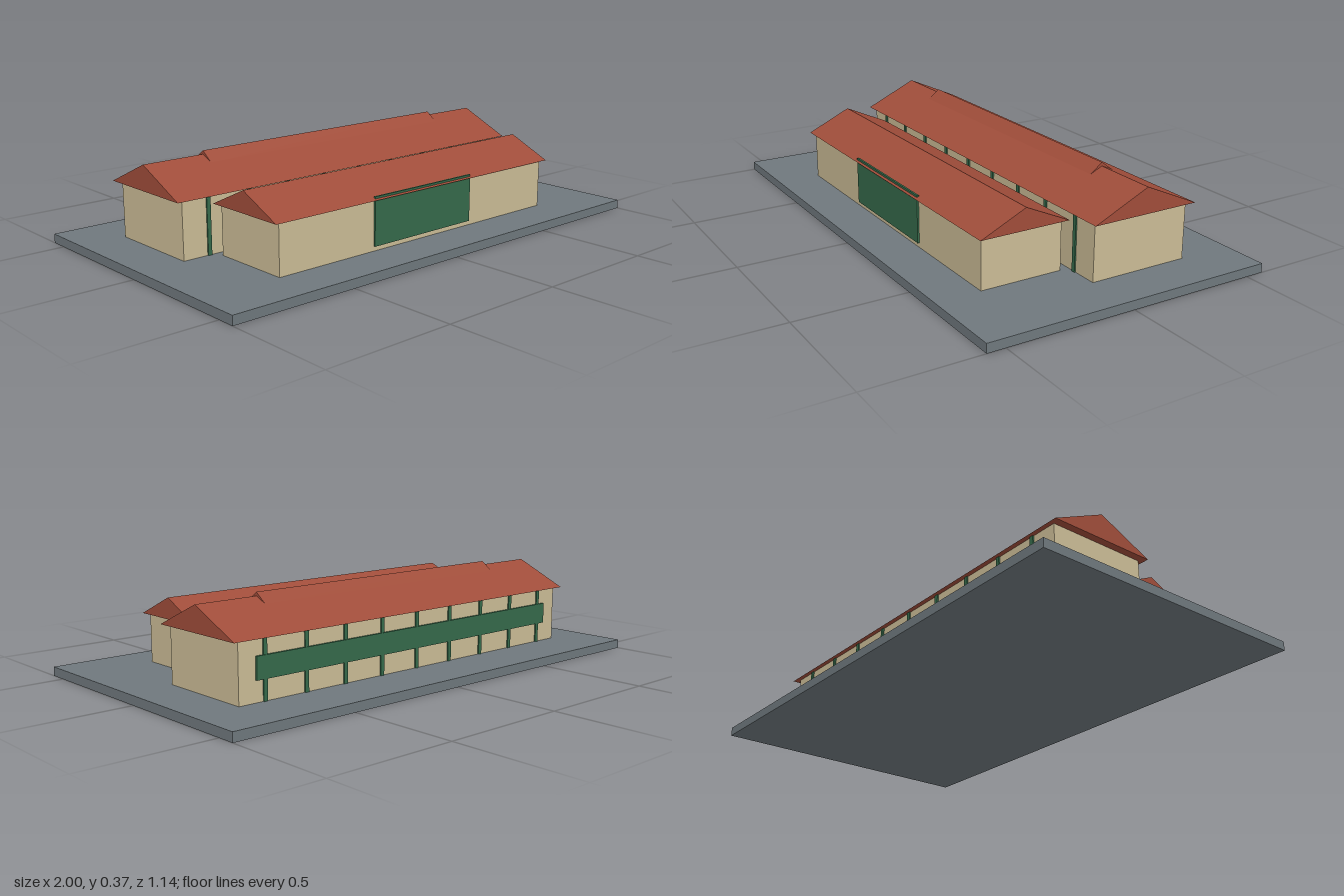
import * as THREE from 'three';

const mat = (name, color) => {
  const m = new THREE.MeshStandardMaterial({ color });
  m.name = name;
  return m;
};

export function createModel() {
  const wall = mat('sand wall', 0xcbbc96);
  const roof = mat('red roof', 0xa04d3a);
  const green = mat('green trim', 0x356a4a);
  const slab = mat('grey slab', 0x6f787d);
  const model = new THREE.Group();
  model.name = 'twinHalls';

  const add = (parent, name, geometry, material) => {
    const mesh = new THREE.Mesh(geometry, material);
    mesh.name = name;
    parent.add(mesh);
  };

  // Box given by its limits on each axis
  const box = (parent, name, material, [x0, x1], [y0, y1], [z0, z1]) => {
    const g = new THREE.BoxGeometry(x1 - x0, y1 - y0, z1 - z0);
    g.translate((x0 + x1) / 2, (y0 + y1) / 2, (z0 + z1) / 2);
    add(parent, name, g, material);
  };

  // Closed triangular prism with its ridge along x
  const gable = (parent, name, halfX, zMid, halfZ, eave, ridge) => {
    const s = new THREE.Shape();
    s.moveTo(-halfZ, eave);
    s.lineTo(halfZ, eave);
    s.lineTo(0, ridge);
    s.closePath();
    const g = new THREE.ExtrudeGeometry(s, { depth: 2 * halfX, bevelEnabled: false });
    g.translate(0, 0, -halfX);
    g.rotateY(Math.PI / 2);
    g.translate(0, 0, zMid);
    add(parent, name, g, roof);
  };

  const ground = 0.035;
  box(model, 'groundSlab', slab, [-1, 1], [0, ground], [-0.57, 0.57]);

  // Low front hall with its wide door
  const front = new THREE.Group();
  front.name = 'frontHall';
  model.add(front);
  box(front, 'frontWalls', wall, [-0.68, 0.68], [ground, 0.226], [0.073, 0.395]);
  gable(front, 'frontRoof', 0.703, 0.233, 0.178, 0.226, 0.308);
  box(front, 'frontDoor', green, [-0.25, 0.25], [0.053, 0.238], [0.394, 0.402]);

  // Taller rear hall with raised ridge vent
  const rear = new THREE.Group();
  rear.name = 'rearHall';
  model.add(rear);
  box(rear, 'rearWalls', wall, [-0.82, 0.82], [ground, 0.253], [-0.357, 0.037]);
  gable(rear, 'rearRoof', 0.848, -0.16, 0.216, 0.253, 0.351);
  gable(rear, 'ridgeVent', 0.593, -0.16, 0.053, 0.326, 0.365);

  // Posts along both long sides
  for (let i = 0; i < 9; i++) {
    const x = -0.712 + i * 0.178;
    for (const [side, z] of [['Front', 0.039], ['Back', -0.359]]) {
      box(rear, `post${side}${i + 1}`, green, [x - 0.008, x + 0.008], [ground, 0.253], [z - 0.003, z + 0.003]);
    }
  }

  // Long window band on the back wall
  box(rear, 'windowBand', green, [-0.75, 0.75], [0.112, 0.194], [-0.365, -0.357]);

  return model;
}
